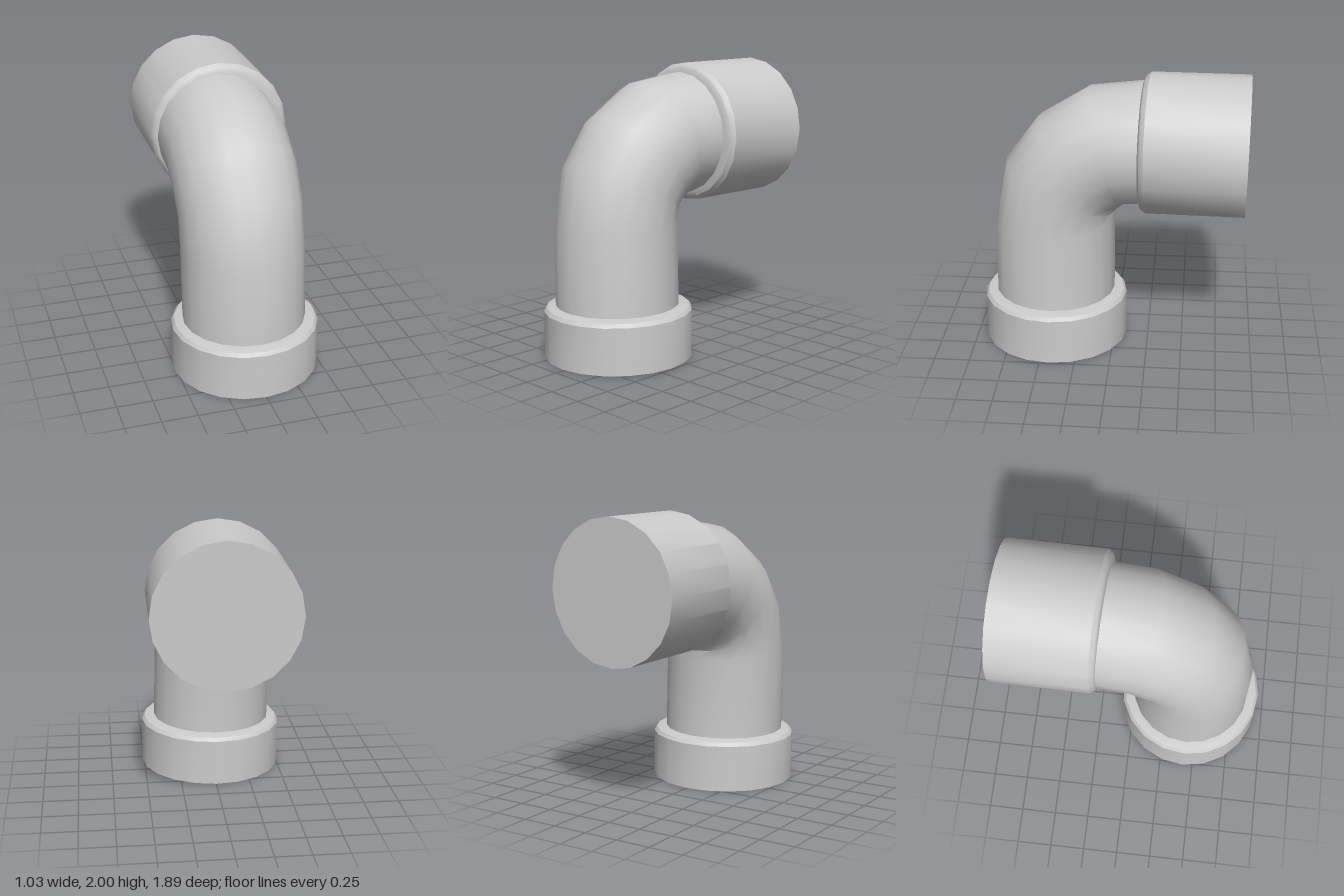
import * as THREE from 'three';
import { toCreasedNormals } from 'three/addons/utils/BufferGeometryUtils.js';

const SIDES = 20;

// Lofts round sections [x, y, z, radius, bend] into a closed tube.
// bend is 0 where the pipe runs upwards and 90 where it runs to the back;
// across is the direction of each section's +x diameter.
function loft(name, material, sections, across) {
  const pos = [], index = [];
  sections.forEach(([x, y, z, r, bend], i) => {
    const a = THREE.MathUtils.degToRad(bend);
    const u = across(i / (sections.length - 1)).normalize();
    const v = new THREE.Vector3(0, Math.sin(a), Math.cos(a));
    for (let j = 0; j < SIDES; j++) {
      const t = (j / SIDES) * Math.PI * 2;
      const p = new THREE.Vector3(x, y, z)
        .addScaledVector(u, r * Math.sin(t))
        .addScaledVector(v, r * Math.cos(t));
      pos.push(p.x, p.y, p.z);
    }
  });
  const last = sections.length - 1;
  const first = pos.length / 3;
  pos.push(...sections[0].slice(0, 3), ...sections[last].slice(0, 3));
  for (let j = 0; j < SIDES; j++) {
    const k = (j + 1) % SIDES;
    for (let i = 0; i < last; i++) {
      const a = i * SIDES, b = a + SIDES;
      index.push(a + j, a + k, b + k, a + j, b + k, b + j);
    }
    // end caps
    index.push(first, k, j, first + 1, last * SIDES + j, last * SIDES + k);
  }
  const geo = new THREE.BufferGeometry();
  geo.setAttribute('position', new THREE.Float32BufferAttribute(pos, 3));
  geo.setIndex(index);
  const mesh = new THREE.Mesh(toCreasedNormals(geo, 0.6), material);
  mesh.name = name;
  return mesh;
}

export function createModel() {
  const group = new THREE.Group();
  group.name = 'pipeElbow';
  const grey = new THREE.MeshStandardMaterial({ color: 0xcccccc });
  const lowTilt = () => new THREE.Vector3(1, 0.015, 0);
  const highTilt = () => new THREE.Vector3(1, 0, 0.034);

  // curved pipe, its ends buried in the collars
  group.add(loft('elbowPipe', grey, [
    [-0.007, 0.32, 0.427, 0.43, 0],
    [-0.019, 0.92, 0.423, 0.427, -3],
    [-0.022, 1.18, 0.375, 0.425, 25],
    [-0.02, 1.35, 0.248, 0.43, 49],
    [-0.014, 1.478, 0.05, 0.432, 72.5],
    [-0.01, 1.51, -0.24, 0.43, 90],
  ], (t) => new THREE.Vector3(1, 0.015 * (1 - t), 0.02 * t)));

  // short bottom collar with a bevelled rim
  group.add(loft('bottomCollar', grey, [
    [0, 0.008, 0.425, 0.516, 0],
    [-0.002, 0.335, 0.425, 0.515, 0],
    [-0.002, 0.36, 0.425, 0.497, 0],
    [-0.003, 0.375, 0.425, 0.435, 0],
  ], lowTilt));

  // longer rear collar with a bevelled rim
  group.add(loft('rearCollar', grey, [
    [0.011, 1.51, -0.195, 0.433, 90.5],
    [0.012, 1.51, -0.208, 0.468, 90.5],
    [0.013, 1.51, -0.24, 0.491, 90.5],
    [0.02, 1.505, -0.927, 0.493, 90.5],
  ], highTilt));

  return group;
}
